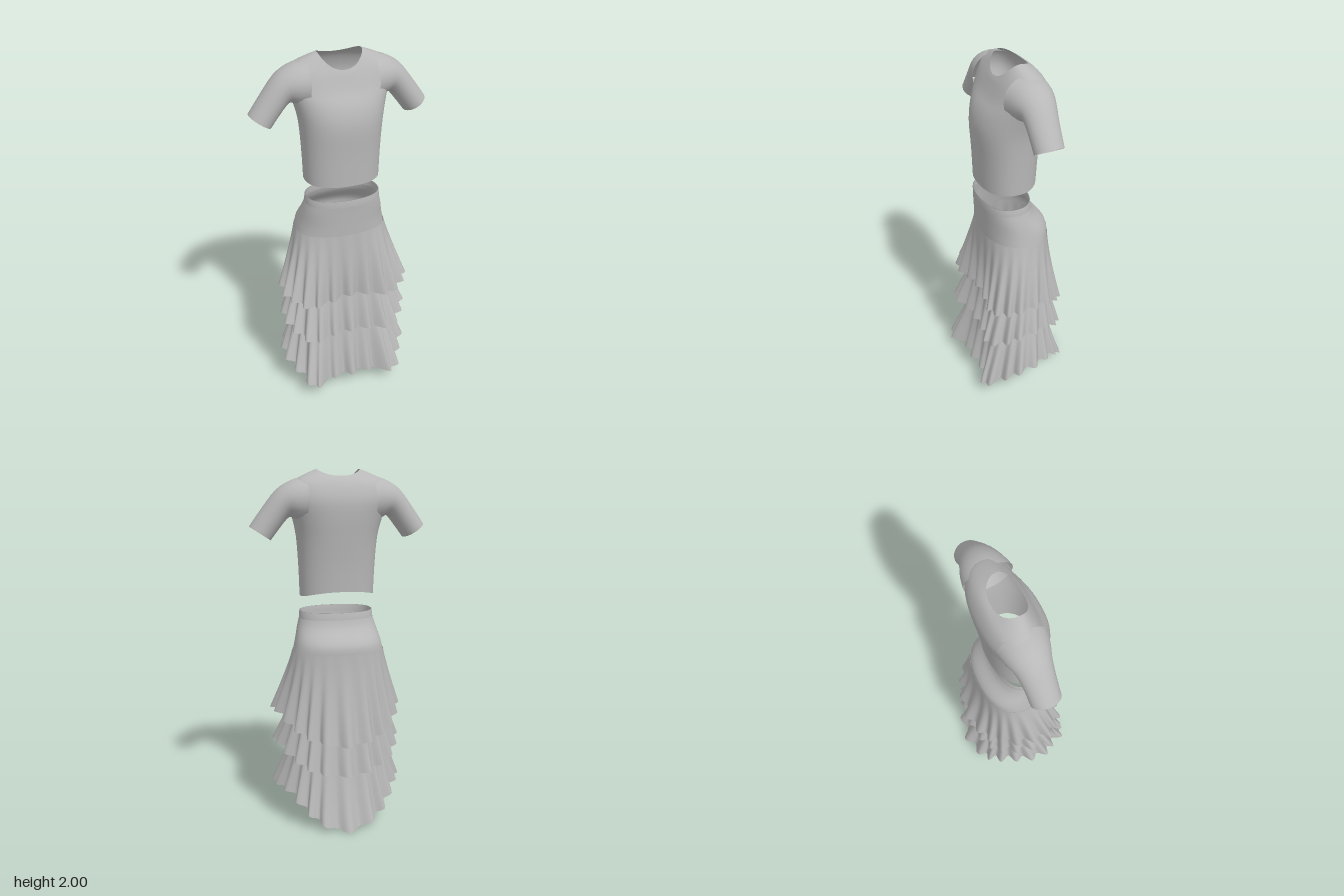
import * as THREE from 'three';

const cloth = new THREE.MeshStandardMaterial({ color: 0xb8b8b8, side: THREE.DoubleSide });
cloth.name = 'greyCloth';

// Skin a list of closed rings (each an array of [x, y, z]) into one open tube
function loft(name, rows) {
  const n = rows[0].length, index = [];
  for (let i = 0; i < rows.length - 1; i++) {
    for (let j = 0; j < n; j++) {
      const a = i * n + j, b = i * n + (j + 1) % n;
      index.push(a, b, a + n, b, b + n, a + n);
    }
  }
  const g = new THREE.BufferGeometry();
  g.setAttribute('position', new THREE.Float32BufferAttribute(rows.flat(2), 3));
  g.setIndex(index);
  g.computeVertexNormals();
  const mesh = new THREE.Mesh(g, cloth);
  mesh.name = name;
  return mesh;
}

// Smoothly subdivide a table of section parameters
function refine(table, steps) {
  const at = i => table[Math.max(0, Math.min(table.length - 1, i))], out = [];
  for (let i = 0; i < table.length - 1; i++) {
    for (let s = 0; s < steps; s++) {
      const t = s / steps;
      out.push(at(i).map((p1, k) => {
        const p0 = at(i - 1)[k], p2 = at(i + 1)[k], p3 = at(i + 2)[k];
        return p1 + 0.5 * t * (p2 - p0 + t * (2 * p0 - 5 * p1 + 4 * p2 - p3 + t * (3 * (p1 - p2) + p3 - p0)));
      }));
    }
  }
  out.push(at(table.length - 1));
  return out;
}

const spow = (v, e) => Math.sign(v) * Math.abs(v) ** e;

// Body ring: half width, front z, back z, y at front, side and back, squareness
function ring([hx, zf, zb, yf, ys, yb, e = 0.85], n = 48) {
  const mid = (zf + zb) / 2, hz = (zf - zb) / 2;
  return Array.from({ length: n }, (_, j) => {
    const a = j / n * Math.PI * 2, c = Math.cos(a);
    return [hx * spow(Math.sin(a), e), ys + ((c > 0 ? yf : yb) - ys) * Math.abs(c) ** 1.7, mid + hz * spow(c, e)];
  });
}

// Sleeve ring: outer x,y, inner x,y, front z, back z
function sleeveRing([ox, oy, ix, iy, zf, zb], side, n = 24) {
  return Array.from({ length: n }, (_, j) => {
    const a = j / n * Math.PI * 2, c = Math.cos(a) / 2;
    return [
      side * ((ox + ix) / 2 + (ox - ix) * c),
      (oy + iy) / 2 + (oy - iy) * c,
      (zf + zb) / 2 + (zf - zb) / 2 * side * Math.sin(a),
    ];
  });
}

// Pleated tier: top ring parameters and half a hem outline [x, z, y], front to back
function tier(name, top, hem) {
  const cols = 176, rows = 10, pleats = 22;
  const half = hem.map(([x, z, y]) => new THREE.Vector3(x, y, z));
  const mirrored = half.slice(1, -1).reverse().map(p => new THREE.Vector3(-p.x, p.y, p.z));
  const curve = new THREE.CatmullRomCurve3([...half, ...mirrored], true);
  const upper = ring(top, cols);
  const rings = [];
  for (let i = rows; i >= 0; i--) {
    const t = i / rows;
    rings.push(upper.map(([x, y, z], j) => {
      const u = j / cols, p = curve.getPoint(u);
      const fold = 0.021 * t ** 1.4 * Math.cos(u * Math.PI * 2 * pleats);
      // the back hangs straight before it flares
      const len = Math.hypot(p.x, p.z), f = t ** (p.z < 0 ? 1.1 - 2 * p.z : 1.1);
      return [
        x + (p.x - x) * t ** 1.08 + p.x / len * fold,
        y + (p.y - y) * t,
        z + (p.z - z) * f + p.z / len * fold,
      ];
    }));
  }
  return loft(name, rings);
}

export function createModel() {
  const model = new THREE.Group();
  model.name = 'outfit';

  // Cropped top with short sleeves
  const shirt = new THREE.Group();
  shirt.name = 'cropTop';
  const body = refine([
    [0.207, 0.187, -0.115, 1.308, 1.312, 1.348, 0.85],
    [0.213, 0.192, -0.125, 1.48, 1.48, 1.49, 0.85],
    [0.225, 0.199, -0.142, 1.64, 1.64, 1.64, 0.85],
    [0.25, 0.177, -0.155, 1.74, 1.75, 1.75, 0.85],
    [0.275, 0.138, -0.157, 1.81, 1.85, 1.84, 0.82],
    [0.25, 0.112, -0.135, 1.87, 1.935, 1.91, 0.82],
    [0.19, 0.1, -0.108, 1.9, 1.972, 1.95, 0.88],
    [0.12, 0.09, -0.08, 1.918, 2.0, 1.967, 0.9],
  ], 3);
  shirt.add(loft('shirtBody', body.map(r => ring(r))));
  const sleeve = refine([
    [0.18, 1.965, 0.19, 1.72, 0.125, -0.138],
    [0.26, 1.945, 0.235, 1.735, 0.108, -0.125],
    [0.34, 1.895, 0.272, 1.75, 0.086, -0.103],
    [0.415, 1.803, 0.318, 1.7, 0.079, -0.088],
    [0.487, 1.703, 0.373, 1.628, 0.078, -0.08],
  ], 3);
  for (const side of [1, -1]) {
    shirt.add(loft(side > 0 ? 'leftSleeve' : 'rightSleeve', sleeve.map(r => sleeveRing(r, side))));
  }
  model.add(shirt);

  // Tiered skirt with fitted yoke and waistband
  const skirt = new THREE.Group();
  skirt.name = 'tieredSkirt';
  const yoke = refine([
    [0.257, 0.178, -0.18, 1.0, 1.0, 1.0],
    [0.243, 0.18, -0.172, 1.06, 1.06, 1.06],
    [0.224, 0.183, -0.105, 1.135, 1.135, 1.135],
    [0.21, 0.186, -0.084, 1.185, 1.185, 1.185],
  ], 3);
  skirt.add(loft('yoke', yoke.map(r => ring(r))));
  skirt.add(loft('waistband', [
    ring([0.211, 0.187, -0.085, 1.183, 1.183, 1.183]),
    ring([0.207, 0.187, -0.08, 1.222, 1.222, 1.222]),
    ring([0.202, 0.182, -0.075, 1.222, 1.222, 1.222]),
    ring([0.206, 0.182, -0.08, 1.183, 1.183, 1.183]),
  ]));
  skirt.add(tier('upperTier', [0.259, 0.18, -0.182, 1.005, 1.005, 1.005], [
    [0, 0.205, 0.625], [0.12, 0.215, 0.61], [0.23, 0.232, 0.6], [0.31, 0.185, 0.62], [0.357, 0.12, 0.643],
    [0.35, 0, 0.65], [0.3, -0.11, 0.605], [0.235, -0.19, 0.56], [0.145, -0.235, 0.525], [0, -0.268, 0.5],
  ]));
  skirt.add(tier('middleTier', [0.25, 0.16, -0.175, 0.78, 0.78, 0.76], [
    [0, 0.23, 0.39], [0.12, 0.235, 0.385], [0.23, 0.26, 0.38], [0.305, 0.19, 0.405], [0.35, 0.12, 0.45],
    [0.345, 0, 0.455], [0.3, -0.11, 0.415], [0.235, -0.19, 0.375], [0.145, -0.23, 0.34], [0, -0.248, 0.32],
  ]));
  skirt.add(tier('lowerTier', [0.25, 0.16, -0.17, 0.56, 0.56, 0.52], [
    [0, 0.25, 0.085], [0.12, 0.245, 0.08], [0.25, 0.297, 0.08], [0.298, 0.2, 0.12], [0.356, 0.12, 0.185],
    [0.352, 0, 0.2], [0.3, -0.11, 0.19], [0.235, -0.2, 0.12], [0.155, -0.252, 0.05], [0, -0.29, 0],
  ]));
  model.add(skirt);
  return model;
}
